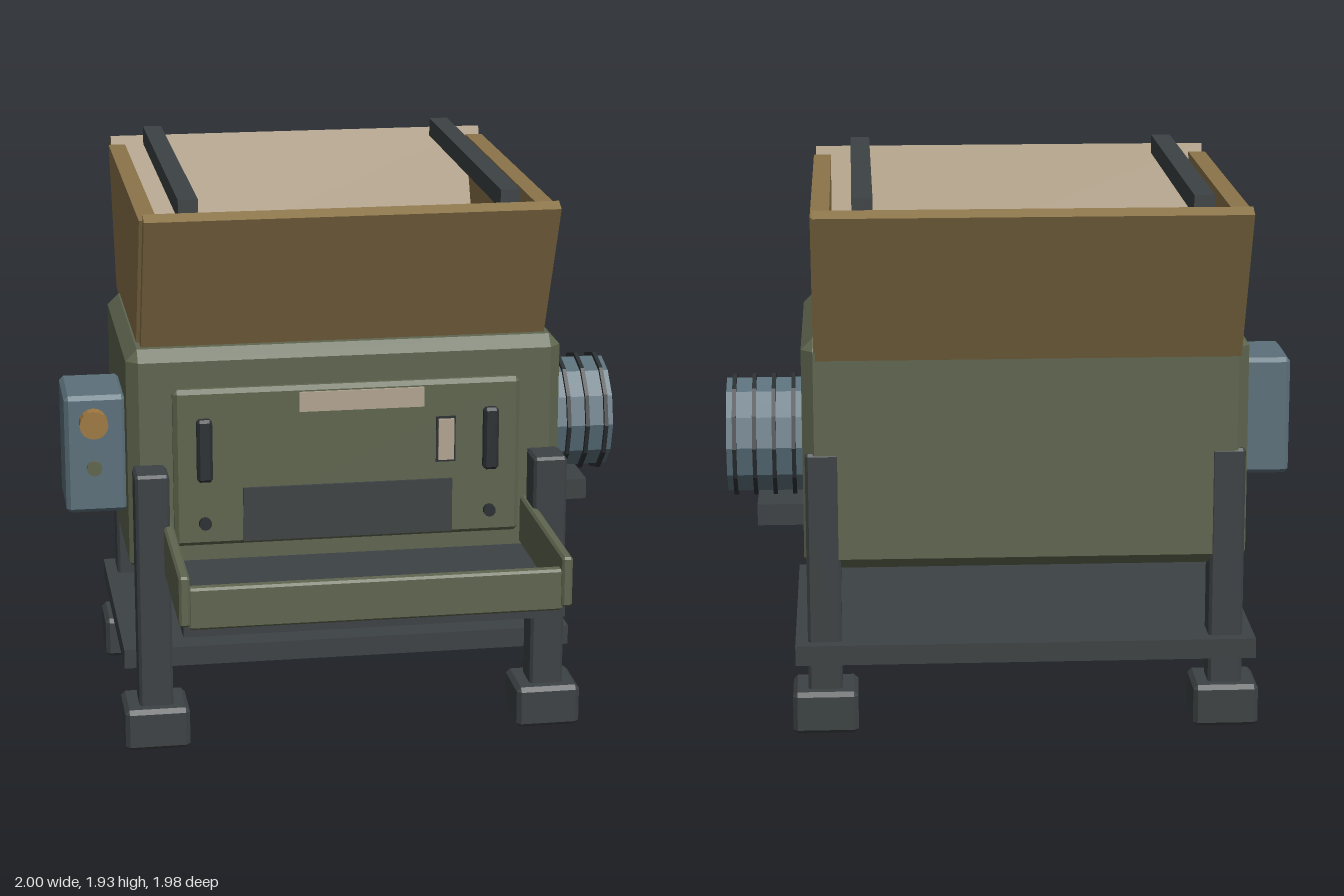
import * as THREE from 'three';
import { ConvexGeometry } from 'three/addons/geometries/ConvexGeometry.js';

const mat = (name, color) => {
  const m = new THREE.MeshStandardMaterial({ color });
  m.name = name;
  m.flatShading = true;
  return m;
};

export function createModel() {
  const model = new THREE.Group();
  model.name = 'industrialShredder';
  const green = mat('olive paint', 0x5f664f);
  const tan = mat('ochre paint', 0x8b744a);
  const dark = mat('dark steel', 0x3d4244);
  const black = mat('black rubber', 0x2b3033);
  const blue = mat('blue grey paint', 0x5c717c);
  const cream = mat('cream label', 0xb3a592);
  const amber = mat('amber button', 0xa07a42);

  const add = (name, geo, material) => {
    const mesh = new THREE.Mesh(geo, material);
    mesh.name = name;
    model.add(mesh);
    return mesh;
  };

  // Box given by its limits on each axis, with optional chamfered edges
  const box = (name, material, [x0, x1], [y0, y1], [z0, z1], c = 0) => {
    const w = x1 - x0, h = y1 - y0, d = z1 - z0;
    let geo;
    if (c > 0) {
      const pts = [];
      for (const sx of [-1, 1]) for (const sy of [-1, 1]) for (const sz of [-1, 1]) {
        for (let k = 0; k < 3; k++) {
          const p = [w / 2 - c, h / 2 - c, d / 2 - c];
          p[k] += c;
          pts.push(new THREE.Vector3(sx * p[0], sy * p[1], sz * p[2]));
        }
      }
      geo = new ConvexGeometry(pts);
    } else geo = new THREE.BoxGeometry(w, h, d);
    const mesh = add(name, geo, material);
    mesh.position.set((x0 + x1) / 2, (y0 + y1) / 2, (z0 + z1) / 2);
    return mesh;
  };

  // Cylinder lying along x or z
  const rod = (name, material, axis, r, len, sides, [x, y, z], turn = 0) => {
    const geo = new THREE.CylinderGeometry(r, r, len, sides);
    geo.rotateY(turn);
    if (axis === 'x') geo.rotateZ(-Math.PI / 2);
    else geo.rotateX(Math.PI / 2);
    add(name, geo, material).position.set(x, y, z);
  };

  // Main housing
  box('housing', green, [-0.79, 0.735], [0.575, 1.385], [-0.565, 0.315], 0.04);

  // Stand: feet, legs and shelf
  for (const x of [-0.722, 0.668]) for (const z of [0.41, -0.505]) {
    box('foot', dark, [x - 0.113, x + 0.113], [0, 0.15], [z - 0.108, z + 0.108], 0.015);
    box('leg', dark, [x - 0.059, x + 0.059], [0.13, 0.99], [z - 0.062, z + 0.062], 0.01);
  }
  for (const x of [-0.722, 0.668])
    box('legBracket', dark, [x - 0.05, x + 0.05], [0.62, 0.98], [0.31, 0.355]);
  box('shelf', dark, [-0.823, 0.77], [0.25, 0.32], [-0.61, 0.36]);

  // Cutting throat with two hexagonal rollers
  box('throatPlate', dark, [-0.67, 0.61], [1.35, 1.41], [-0.57, 0.067]);
  for (const z of [-0.436, -0.147])
    rod('cuttingRoller', dark, 'x', 0.144, 1.24, 6, [-0.03, 1.395, z], Math.PI / 12);

  // Hopper: sloping front and back, upright trapezoid sides
  const hz = -0.255;
  for (const s of [-1, 1]) {
    const panel = add('hopperSlope', new THREE.BoxGeometry(1.417, 0.573, 0.047), tan);
    panel.position.set(-0.025, 1.624, hz + s * 0.591);
    panel.rotation.x = s * 0.44;
  }
  const side = new THREE.Shape([[-0.43, 1.37], [0.43, 1.37], [0.665, 1.865], [-0.665, 1.865]]
    .map(([z, y]) => new THREE.Vector2(z, y)));
  for (const x of [-0.713, 0.66]) {
    const geo = new THREE.ExtrudeGeometry(side, { depth: 0.062, bevelEnabled: false });
    geo.translate(0, 0, -0.031).rotateY(-Math.PI / 2);
    add('hopperSide', geo, tan).position.set(x, 0, hz);
  }
  for (const x of [-0.578, 0.523])
    box('hopperBar', dark, [x - 0.034, x + 0.034], [1.863, 1.93], [-0.93, 0.4]);

  // Front access panel with its fittings
  box('accessPanel', green, [-0.636, 0.583], [0.685, 1.25], [0.3, 0.345], 0.015);
  box('label', cream, [-0.198, 0.24], [1.16, 1.23], [0.345, 0.354]);
  box('latchBase', black, [0.284, 0.353], [0.955, 1.12], [0.34, 0.349]);
  box('latch', cream, [0.291, 0.346], [0.965, 1.112], [0.349, 0.362]);
  box('outletSlot', dark, [-0.396, 0.342], [0.7, 0.893], [0.34, 0.356]);
  for (const x of [-0.53, 0.476]) {
    box('handle', black, [x - 0.027, x + 0.027], [0.925, 1.15], [0.34, 0.378], 0.01);
    rod('bolt', black, 'z', 0.022, 0.03, 10, [x, 0.77, 0.35]);
  }

  // Discharge tray
  box('trayFloor', dark, [-0.67, 0.615], [0.582, 0.625], [0.3, 0.95]);
  box('trayFront', green, [-0.655, 0.6], [0.615, 0.76], [0.938, 0.98], 0.008);
  for (const x of [-0.668, 0.612])
    box('traySide', green, [x - 0.018, x + 0.018], [0.63, 0.805], [0.31, 0.99], 0.008);

  // Motor with cooling fins on a bracket
  rod('motor', blue, 'x', 0.205, 0.28, 12, [0.86, 0.965, -0.173]);
  for (const x of [0.767, 0.835, 0.903, 0.972])
    rod('motorFin', black, 'x', 0.22, 0.014, 12, [x, 0.965, -0.173]);
  box('motorBracket', dark, [0.72, 0.895], [0.7, 0.775], [-0.417, 0.07]);

  // Control box with buttons
  box('controlBox', blue, [-1, -0.785], [0.775, 1.2], [-0.107, 0.19], 0.015);
  rod('mainButton', amber, 'z', 0.05, 0.06, 16, [-0.9, 1.107, 0.205]);
  rod('smallButton', green, 'z', 0.027, 0.03, 12, [-0.9, 0.94, 0.19]);

  return model;
}
